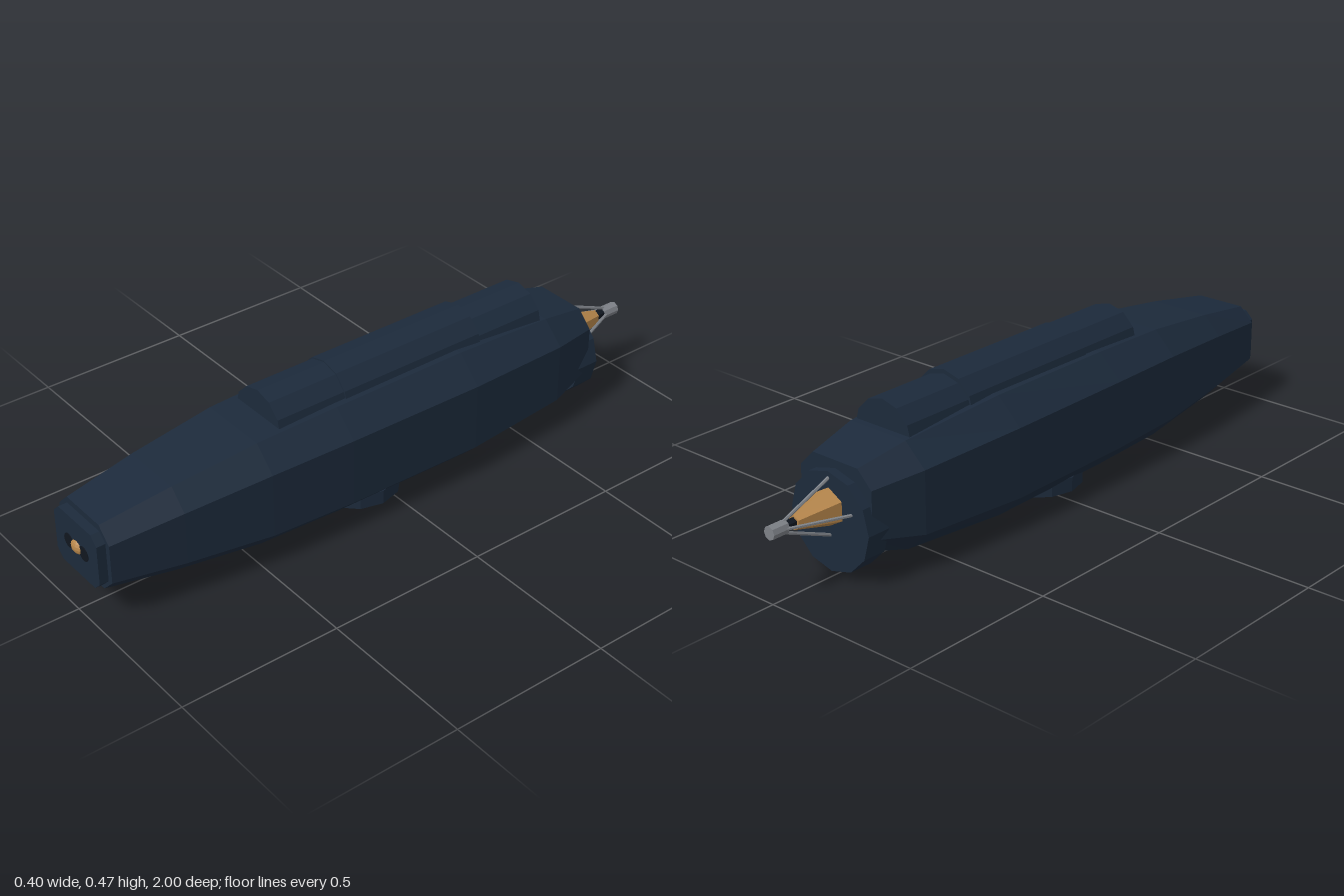
import * as THREE from 'three';

const mat = (color) => new THREE.MeshStandardMaterial({ color, flatShading: true });
const AXIS_Y = 0.207;

// Chamfered rectangle outline, counter-clockwise seen from the front
function octagon([z, w, bottom, top, cx, cy]) {
  return [
    [w, bottom + cy, z], [w, top - cy, z], [w - cx, top, z], [cx - w, top, z],
    [-w, top - cy, z], [-w, bottom + cy, z], [cx - w, bottom, z], [w - cx, bottom, z],
  ];
}

// Closed loft through octagonal sections ordered front to back
function loft(sections) {
  const n = 8;
  const pos = sections.flatMap((s) => octagon(s).flat());
  const index = [];
  for (let s = 0; s < sections.length - 1; s++) {
    for (let i = 0; i < n; i++) {
      const a = s * n + i, a2 = s * n + ((i + 1) % n);
      index.push(a, a + n, a2, a2, a + n, a2 + n);
    }
  }
  const last = (sections.length - 1) * n;
  for (let i = 1; i < n - 1; i++) {
    index.push(0, i, i + 1, last, last + i + 1, last + i);
  }
  const g = new THREE.BufferGeometry();
  g.setAttribute('position', new THREE.Float32BufferAttribute(pos, 3));
  g.setIndex(index);
  const flat = g.toNonIndexed();
  flat.computeVertexNormals();
  return flat;
}

// Cylinder or cone lying along z between two stations
function barrel(rFront, rBack, zFront, zBack, sides) {
  return new THREE.CylinderGeometry(rFront, rBack, zFront - zBack, sides)
    .rotateX(Math.PI / 2).translate(0, 0, (zFront + zBack) / 2);
}

export function createModel() {
  const model = new THREE.Group();
  model.name = 'submarine';
  const navy = mat(0x1c2a3b), dark = mat(0x10161f), gold = mat(0xb5854a), steel = mat(0x7d8187);
  const add = (name, geometry, material, x = 0, y = 0, z = 0) => {
    const mesh = new THREE.Mesh(geometry, material);
    mesh.name = name;
    mesh.position.set(x, y, z);
    model.add(mesh);
    return mesh;
  };

  // Hull: z, half width, bottom, top, chamfer width, chamfer height
  add('hull', loft([
    [0.96, 0.125, 0.102, 0.315, 0.045, 0.045],
    [0.74, 0.154, 0.068, 0.35, 0.057, 0.058],
    [0.47, 0.182, 0.037, 0.381, 0.07, 0.07],
    [0.2, 0.194, 0.029, 0.389, 0.077, 0.074],
    [-0.25, 0.2, 0.025, 0.392, 0.08, 0.077],
    [-0.6, 0.174, 0.045, 0.366, 0.07, 0.066],
    [-0.76, 0.134, 0.09, 0.333, 0.05, 0.05],
  ]), navy);

  // Nose plate with twin ports and lamp
  add('nosePlate', loft([
    [0.988, 0.107, 0.118, 0.295, 0.026, 0.026],
    [0.95, 0.107, 0.118, 0.295, 0.026, 0.026],
  ]), navy);
  for (const side of [-1, 1]) {
    add(side > 0 ? 'leftPort' : 'rightPort', barrel(0.023, 0.023, 0.99, 0.975, 16), dark, side * 0.037, AXIS_Y);
  }
  add('noseLamp', new THREE.SphereGeometry(1, 10, 8).scale(0.028, 0.022, 0.018), gold, 0, AXIS_Y, 0.982);

  // Rounded deck casing in three stepped lengths
  add('frontCasing', barrel(0.106, 0.106, 0.385, 0.155, 12), navy, 0, 0.355);
  add('middleCasing', barrel(0.11, 0.11, 0.155, -0.34, 12), navy, 0, 0.355);
  add('rearCasing', barrel(0.106, 0.106, -0.34, -0.58, 12), navy, 0, 0.346);

  // Belly pad
  add('bellyPad', new THREE.CylinderGeometry(0.14, 0.14, 0.045, 12), navy, 0, 0.0225, 0.05);

  // Stern disc and tail assembly
  add('sternDisc', barrel(0.147, 0.147, -0.712, -0.787, 12), navy, 0, 0.163);
  add('tailCone', barrel(0.058, 0.022, -0.78, -0.915, 6), gold, 0, AXIS_Y);
  add('tailHub', barrel(0.016, 0.016, -0.9, -0.955, 6), dark, 0, AXIS_Y);
  add('tailTip', barrel(0.02, 0.02, -0.945, -1, 8), steel, 0, AXIS_Y);

  // Four struts converging on the tail tip
  for (let i = 0; i < 4; i++) {
    const a = (i * Math.PI) / 2, c = Math.cos(a), s = Math.sin(a);
    const path = new THREE.LineCurve3(
      new THREE.Vector3(c * 0.088, s * 0.088, -0.775),
      new THREE.Vector3(c * 0.012, s * 0.012, -0.96));
    add('tailStrut', new THREE.TubeGeometry(path, 1, 0.005, 6), steel, 0, AXIS_Y);
  }
  return model;
}
